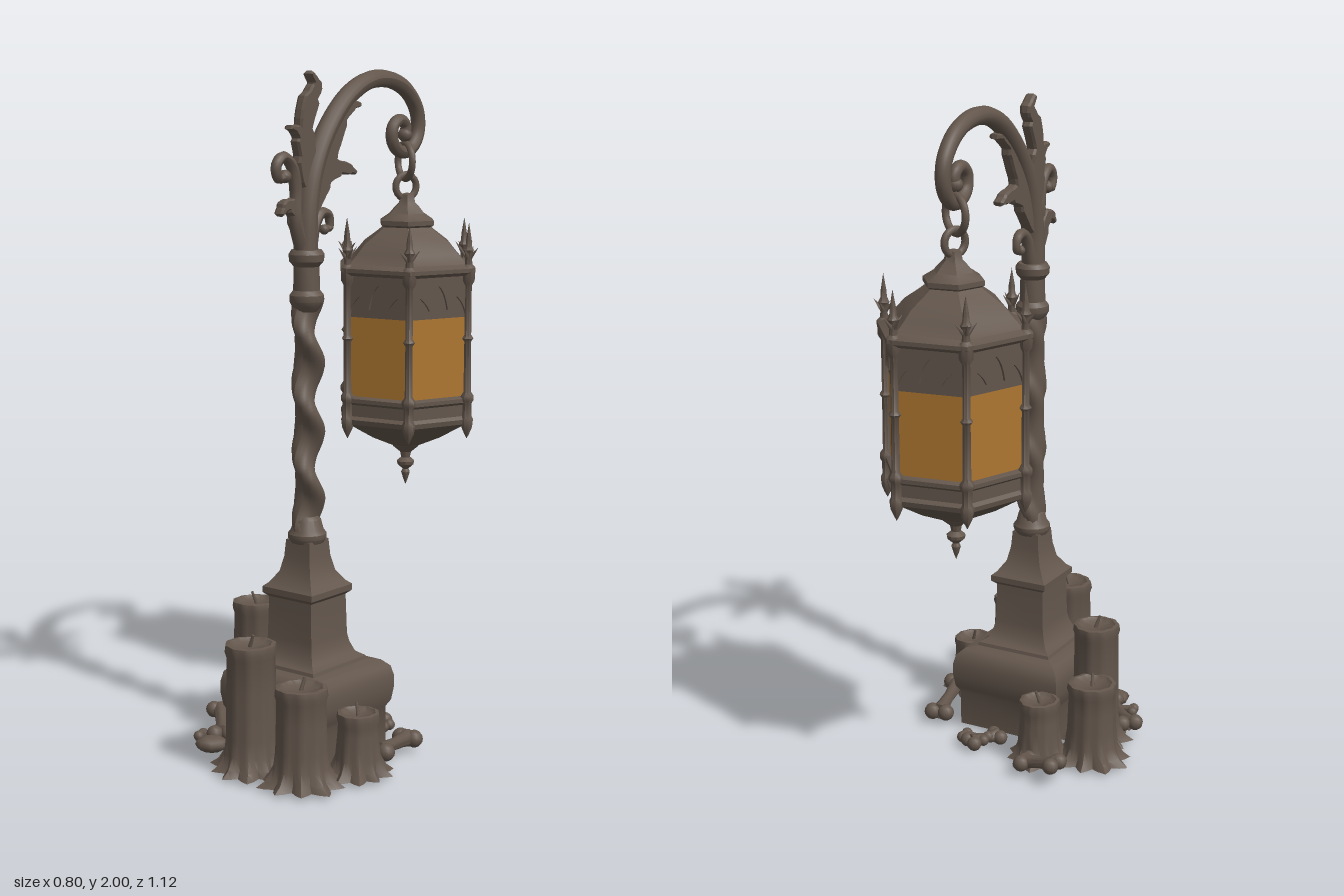
import * as THREE from 'three';
import { toCreasedNormals } from 'three/addons/utils/BufferGeometryUtils.js';

const iron = new THREE.MeshStandardMaterial({ color: 0x63564c });
iron.name = 'weathered iron';
const amber = new THREE.MeshStandardMaterial({ color: 0xad7630 });
amber.name = 'amber glass';

const PX = 0.025, PZ = 0.165; // post axis
const LX = 0, LZ = -0.347; // lantern axis
const HEX = THREE.MathUtils.degToRad(-9);

function add(parent, name, geo, mat = iron, x = 0, y = 0, z = 0) {
  const m = new THREE.Mesh(geo, mat);
  m.name = name;
  m.position.set(x, y, z);
  parent.add(m);
  return m;
}

// turned profile of [radius, y] pairs, from bottom to top
function turned(profile, sides, start = 0, crease = 0.6) {
  const pts = profile.map(([r, y]) => new THREE.Vector2(r, y));
  return toCreasedNormals(new THREE.LatheGeometry(pts, sides, start), crease);
}
const hexTurned = (p) => turned(p, 6, Math.PI / 2 - HEX);

// points in the plane of the arm, which swings slightly sideways
const armPoint = ([z, y]) => new THREE.Vector3(PX + (z - PZ) * 0.05, y, z);

function taperedTube(points, r0, r1, steps = 40, sides = 10) {
  const curve = new THREE.CatmullRomCurve3(points);
  const g = new THREE.TubeGeometry(curve, steps, 1, sides);
  const pos = g.attributes.position, v = new THREE.Vector3();
  for (let i = 0; i < pos.count; i++) {
    const t = Math.floor(i / (sides + 1)) / steps;
    const c = curve.getPointAt(t);
    v.fromBufferAttribute(pos, i).sub(c).multiplyScalar(r0 + (r1 - r0) * t).add(c);
    pos.setXYZ(i, v.x, v.y, v.z);
  }
  g.computeVertexNormals();
  return g;
}

// lobed leaf lying in the plane of the arm, drawn round a midline of [z, y]
function leafGeometry(mid, width) {
  const curve = new THREE.SplineCurve(mid.map(([z, y]) => new THREE.Vector2(z, y)));
  const left = [], right = [], n = 18;
  for (let i = 0; i <= n; i++) {
    const t = i / n, p = curve.getPoint(t), d = curve.getTangent(t);
    const w = width * (0.25 + 0.75 * Math.sin(Math.PI * Math.pow(t, 0.8))) * (1 - t * 0.6) * (0.65 + 0.35 * ((i % 5) / 4));
    left.push(new THREE.Vector2(p.x - d.y * w, p.y + d.x * w));
    right.unshift(new THREE.Vector2(p.x + d.y * w, p.y - d.x * w));
  }
  const g = new THREE.ExtrudeGeometry(new THREE.Shape([...left, ...right]), {
    depth: 0.018, bevelEnabled: true, bevelThickness: 0.008, bevelSize: 0.004, bevelSegments: 1,
  });
  return g.translate(0, 0, -0.009).rotateY(-Math.PI / 2);
}

function buildPost(root) {
  const post = new THREE.Group();
  post.name = 'post';
  post.position.set(PX, 0, PZ);
  root.add(post);

  // square stepped plinth
  const plinth = [[0, 0.02], [0.165, 0.02], [0.165, 0.13], [0.177, 0.15], [0.183, 0.19], [0.183, 0.225], [0.176, 0.255],
    [0.155, 0.275], [0.125, 0.28], [0.122, 0.29], [0.1, 0.305], [0.088, 0.335], [0.083, 0.36], [0.08, 0.48], [0.094, 0.492],
    [0.094, 0.51], [0.08, 0.522], [0.058, 0.555], [0.048, 0.6], [0.044, 0.65], [0, 0.65]];
  add(post, 'plinth', turned(plinth.map(([r, y]) => [r * Math.SQRT2, y]), 4, Math.PI / 4));

  // twisted shaft
  const shaft = new THREE.CylinderGeometry(1, 1, 0.7, 18, 70, true);
  const pos = shaft.attributes.position;
  for (let i = 0; i < pos.count; i++) {
    const y = pos.getY(i) + 1.01;
    const a = Math.atan2(pos.getZ(i), pos.getX(i)), k = y * 15.7;
    const r = 0.037 + 0.009 * Math.cos(2 * (a - k));
    pos.setXYZ(i, r * Math.cos(a) + 0.008 * Math.cos(k * 2), y, r * Math.sin(a) + 0.008 * Math.sin(k * 2));
  }
  shaft.computeVertexNormals();
  add(post, 'twistedShaft', shaft);

  // collars
  add(post, 'lowerCollar', turned([[0.03, 0.635], [0.05, 0.642], [0.057, 0.655], [0.057, 0.668], [0.048, 0.68], [0.04, 0.71], [0.03, 0.72]], 16));
  add(post, 'upperCollar', turned([[0.03, 1.32], [0.042, 1.335], [0.05, 1.35], [0.05, 1.368], [0.039, 1.382], [0.037, 1.45],
    [0.05, 1.465], [0.052, 1.485], [0.044, 1.498], [0, 1.5]], 16));
}

function buildArm(root) {
  const arm = new THREE.Group();
  arm.name = 'arm';
  root.add(arm);

  const bow = [[0.17, 1.47], [0.165, 1.6], [0.135, 1.72], [0.07, 1.83], [-0.03, 1.925], [-0.14, 1.973], [-0.25, 1.975], [-0.34, 1.942],
    [-0.397, 1.88], [-0.402, 1.815], [-0.365, 1.767], [-0.31, 1.76], [-0.268, 1.79], [-0.268, 1.835], [-0.305, 1.856], [-0.338, 1.838], [-0.335, 1.81]];
  add(arm, 'scrolledArm', taperedTube(bow.map(armPoint), 0.036, 0.017, 110, 12));
  add(arm, 'scrollTip', new THREE.SphereGeometry(0.022, 12, 8), iron, -0.001, 1.81, -0.335);

  // side scrolls
  const scrolls = [
    [[0.185, 1.5], [0.215, 1.58], [0.215, 1.67], [0.235, 1.74], [0.275, 1.765], [0.305, 1.74], [0.295, 1.705], [0.265, 1.71]],
    [[0.15, 1.5], [0.125, 1.57], [0.095, 1.598], [0.06, 1.59], [0.055, 1.555], [0.08, 1.55]],
  ];
  scrolls.forEach((s, i) => add(arm, 'sideScroll', taperedTube(s.map(armPoint), 0.022, i ? 0.011 : 0.014, 40, 8)));
  add(arm, 'scrollTip', new THREE.SphereGeometry(0.019, 10, 8), iron, PX + 0.005, 1.71, 0.265);
  add(arm, 'scrollTip', new THREE.SphereGeometry(0.015, 10, 8), iron, PX - 0.004, 1.55, 0.08);

  // lobed leaves
  const leaves = [
    [[[0.14, 1.72], [0.175, 1.83], [0.15, 1.92], [0.125, 1.96], [0.15, 1.995]], 0.042],
    [[[0.18, 1.68], [0.185, 1.78], [0.2, 1.83], [0.235, 1.845]], 0.03],
    [[[0.12, 1.7], [0.06, 1.77], [0.02, 1.86], [-0.03, 1.9], [-0.07, 1.905]], 0.04],
    [[[0.14, 1.6], [0.09, 1.69], [0.03, 1.725], [-0.02, 1.72], [-0.05, 1.71]], 0.035],
    [[[0.19, 1.53], [0.22, 1.61], [0.255, 1.63], [0.28, 1.605]], 0.028],
  ];
  for (const [mid, w] of leaves) add(arm, 'leaf', leafGeometry(mid, w), iron, PX - 0.003, 0, 0);

  // hanging links
  add(arm, 'upperLink', new THREE.TorusGeometry(0.053, 0.011, 8, 24), iron, LX - 0.005, 1.73, LZ + 0.005).rotation.y = -0.5;
  add(arm, 'lowerLink', new THREE.TorusGeometry(0.036, 0.011, 8, 20), iron, LX - 0.005, 1.653, LZ).rotation.y = Math.PI / 2 - 0.4;
}

function buildLantern(root) {
  const lantern = new THREE.Group();
  lantern.name = 'lantern';
  lantern.position.set(LX, 0, LZ);
  root.add(lantern);

  add(lantern, 'lanternRoof', hexTurned([[0, 1.39], [0.222, 1.392], [0.234, 1.402], [0.234, 1.414], [0.205, 1.425], [0.178, 1.452],
    [0.148, 1.485], [0.1, 1.518], [0.082, 1.532], [0.092, 1.538], [0.092, 1.552], [0.06, 1.572], [0.042, 1.592], [0.028, 1.605], [0.022, 1.63], [0, 1.635]]));
  add(lantern, 'upperPanes', hexTurned([[0.2, 1.265], [0.2, 1.395]]));
  add(lantern, 'glass', hexTurned([[0.2, 1.015], [0.2, 1.265]]), amber);
  add(lantern, 'lanternBase', hexTurned([[0, 0.85], [0.05, 0.855], [0.12, 0.885], [0.19, 0.925], [0.212, 0.935], [0.216, 0.95], [0.205, 0.96],
    [0.205, 0.995], [0.216, 1.003], [0.216, 1.015], [0.2, 1.022], [0, 1.022]]));
  add(lantern, 'bottomFinial', turned([[0, 0.725], [0.008, 0.745], [0.014, 0.765], [0.009, 0.775], [0.026, 0.79], [0.028, 0.8], [0.014, 0.812],
    [0.018, 0.83], [0.04, 0.848], [0.05, 0.862], [0, 0.87]], 10));

  // scalloped tracery plate
  const s = new THREE.Shape();
  s.moveTo(-0.098, 1.395);
  s.lineTo(-0.098, 1.275);
  for (let i = 0; i < 3; i++) {
    const x = -0.098 + i * 0.0653;
    const top = i === 1 ? 1.365 : 1.33;
    s.quadraticCurveTo(x + 0.008, top - 0.02, x + 0.0327, top);
    s.quadraticCurveTo(x + 0.057, top - 0.02, x + 0.0653, i === 2 ? 1.275 : 1.29);
  }
  s.lineTo(0.098, 1.395);
  const tracery = new THREE.ExtrudeGeometry(s, { depth: 0.008, bevelEnabled: false, curveSegments: 6 });

  // corner columns with spiked tops and drop ends
  const column = turned([[0, 0.89], [0.008, 0.905], [0.017, 0.925], [0.02, 0.95], [0.015, 0.96], [0.015, 1.0], [0.021, 1.01], [0.021, 1.022],
    [0.012, 1.035], [0.011, 1.19], [0.018, 1.2], [0.011, 1.21], [0.011, 1.36], [0.02, 1.375], [0.022, 1.415], [0.012, 1.425],
    [0.01, 1.455], [0.017, 1.468], [0.01, 1.48], [0.009, 1.5], [0, 1.552]], 8);
  const spur = new THREE.ConeGeometry(0.009, 0.05, 5);

  for (let i = 0; i < 6; i++) {
    const a = HEX + i * Math.PI / 3;
    const corner = new THREE.Group();
    corner.name = 'cornerColumn';
    corner.position.set(0.211 * Math.cos(a), 0, 0.211 * Math.sin(a));
    corner.rotation.y = -a;
    lantern.add(corner);
    add(corner, 'columnShaft', column);
    for (const side of [-1, 1]) {
      add(corner, 'finialSpur', spur, iron, 0, 1.458, side * 0.016).rotation.x = side * 0.7;
      add(corner, 'finialSpur', spur, iron, side * 0.016, 1.458, 0).rotation.z = -side * 0.7;
    }
    const f = a + Math.PI / 6;
    const plate = add(lantern, 'tracery', tracery, iron, 0.174 * Math.cos(f), 0, 0.174 * Math.sin(f));
    plate.rotation.y = Math.PI / 2 - f;
  }
}

// candle with dripping ribs and a pointed pool of wax
function buildCandle(root, x, z, r, h, seed) {
  const candle = new THREE.Group();
  candle.name = 'candle';
  candle.position.set(x, 0, z);
  candle.rotation.y = seed * 1.3;
  root.add(candle);
  const b = 0.018;
  const prof = [[0, b], [1.45, b], [1.2, b + 0.018], [1.04, b + 0.05], [0.98, b + 0.1], [0.95, h * 0.6 + 0.02], [0.93, h - 0.035],
    [1.0, h - 0.018], [0.96, h], [0.8, h + 0.002], [0.66, h - 0.008], [0, h - 0.01]];
  const g = new THREE.LatheGeometry(prof.map(([k, y]) => new THREE.Vector2(k * r, y)), 40);
  const pos = g.attributes.position;
  for (let i = 0; i < pos.count; i++) {
    const px = pos.getX(i), y = pos.getY(i), pz = pos.getZ(i);
    const a = Math.atan2(px, pz);
    const low = Math.max(0, 1 - (y - b) / 0.06);
    const k = 1 + Math.cos(10 * a) * (0.03 + 0.13 * low) + 0.05 * Math.sin(3 * a + seed) * (0.4 + low);
    pos.setXYZ(i, px * k, y, pz * k);
  }
  add(candle, 'wax', toCreasedNormals(g, 0.9));
  add(candle, 'wick', new THREE.CylinderGeometry(0.004, 0.006, 0.04, 6), iron, 0.004, h + 0.008, 0).rotation.z = -0.35;
}

// long bone with paired knuckles at both ends
function buildBone(root, a, b, r) {
  const bone = new THREE.Group();
  bone.name = 'bone';
  root.add(bone);
  const A = new THREE.Vector3(...a), B = new THREE.Vector3(...b);
  const dir = B.clone().sub(A), len = dir.length();
  const m = add(bone, 'boneShaft', turned([[0, 0], [r * 1.3, 0], [r, len * 0.2], [r * 0.85, len * 0.5], [r, len * 0.8], [r * 1.3, len], [0, len]], 10, 0, 1), iron, ...a);
  m.quaternion.setFromUnitVectors(new THREE.Vector3(0, 1, 0), dir.normalize());
  const side = new THREE.Vector3(-dir.z, 0, dir.x).normalize().multiplyScalar(r * 1.05);
  for (const end of [A, B]) for (const k of [-1, 1]) {
    const p = end.clone().addScaledVector(side, k);
    add(bone, 'boneKnuckle', new THREE.SphereGeometry(r * 1.25, 10, 8), iron, p.x, p.y, p.z);
  }
}

export function createModel() {
  const root = new THREE.Group();
  root.name = 'streetLantern';
  buildPost(root);
  buildArm(root);
  buildLantern(root);

  const candles = [[0.025, 0.42, 0.075, 0.39], [0.215, 0.42, 0.076, 0.3], [0.29, 0.26, 0.062, 0.2],
    [-0.235, 0.1, 0.07, 0.405], [-0.28, -0.015, 0.074, 0.265], [-0.14, -0.095, 0.062, 0.21]];
  candles.forEach((c, i) => buildCandle(root, ...c, i));

  buildBone(root, [0.265, 0.045, -0.01], [0.305, 0.065, 0.18], 0.021);
  buildBone(root, [-0.315, 0.06, 0.175], [-0.18, 0.05, 0.32], 0.02);
  buildBone(root, [-0.25, 0.07, -0.205], [-0.14, 0.045, -0.185], 0.02);
  buildBone(root, [-0.26, 0.03, 0.325], [-0.16, 0.035, 0.3], 0.013);

  // knobbly loose bone pieces
  buildBone(root, [0.035, 0.03, -0.045], [0.08, 0.035, -0.13], 0.018);
  buildBone(root, [0.05, 0.035, -0.09], [0.125, 0.03, -0.09], 0.014);
  const shard = add(root, 'boneShard', new THREE.SphereGeometry(0.05, 8, 6), iron, -0.17, 0.035, 0.375);
  shard.scale.set(1, 0.5, 0.8);
  shard.rotation.y = 0.7;
  return root;
}
